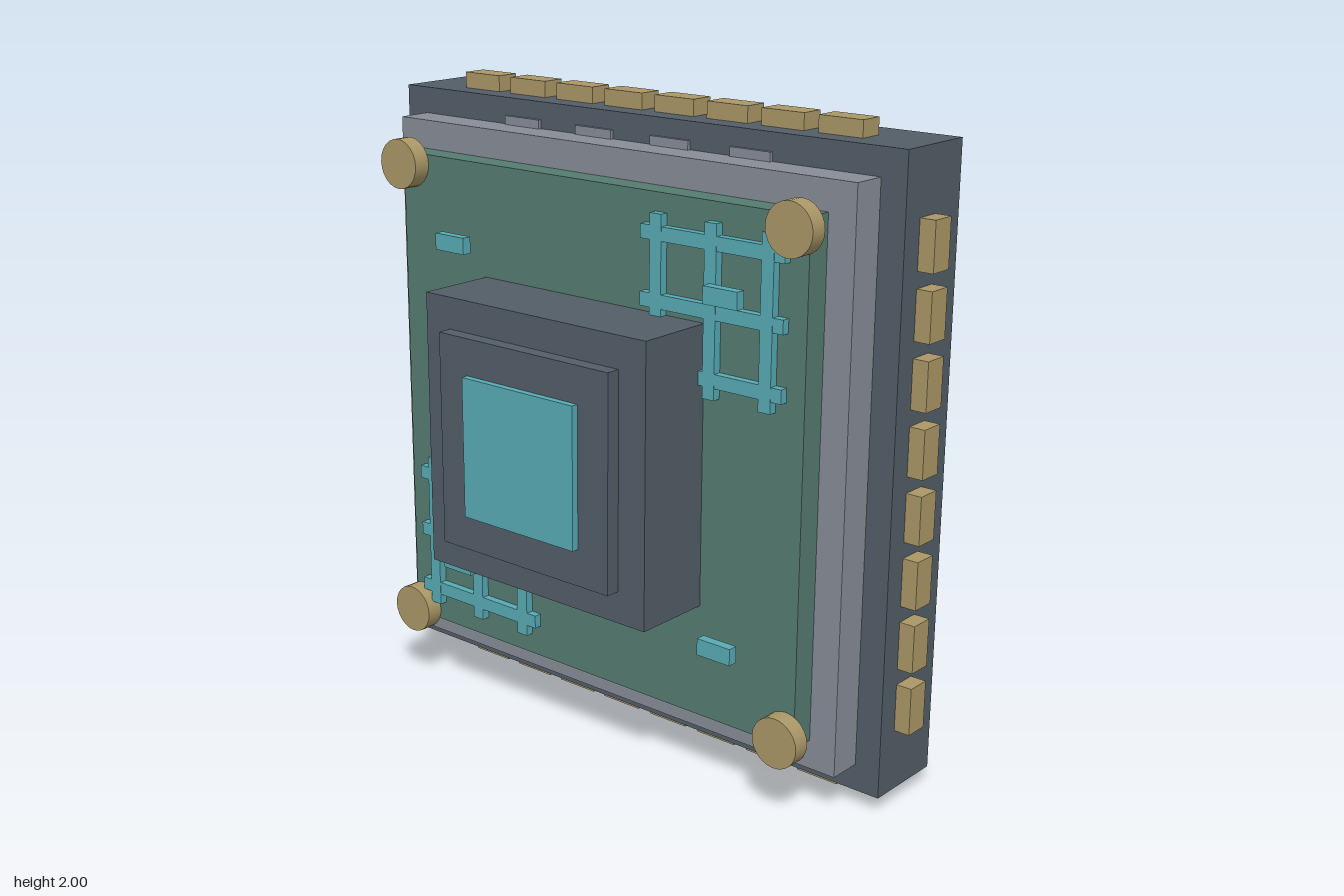
import * as THREE from 'three';

const mat = (name, color) => {
  const m = new THREE.MeshStandardMaterial({ color });
  m.name = name;
  return m;
};

export function createModel() {
  const dark = mat('slate', 0x525d67);
  const silver = mat('grey metal', 0x878c96);
  const green = mat('board green', 0x557b70);
  const gold = mat('dull gold', 0xaa9767);
  const cyan = mat('cyan', 0x57aab4);

  const model = new THREE.Group();
  model.name = 'chipModule';

  const group = (name) => {
    const g = new THREE.Group();
    g.name = name;
    model.add(g);
    return g;
  };

  // Box centred on (x, y), spanning z0 to z1
  const box = (parent, name, material, x, y, w, h, z0, z1) => {
    const mesh = new THREE.Mesh(new THREE.BoxGeometry(w, h, z1 - z0), material);
    mesh.position.set(x, y, (z0 + z1) / 2);
    mesh.name = name;
    parent.add(mesh);
    return mesh;
  };

  // Stacked square layers, back to front
  const layers = [
    ['basePlate', dark, 1.9, -0.39, -0.123],
    ['metalFrame', silver, 1.735, -0.123, -0.014],
    ['circuitBoard', green, 1.556, -0.014, 0.066],
    ['processorBlock', dark, 0.855, 0.066, 0.32],
    ['processorCap', dark, 0.66, 0.32, 0.365],
    ['processorCore', cyan, 0.434, 0.365, 0.387],
  ];
  for (const [name, m, size, z0, z1] of layers) box(model, name, m, 0, 1, size, size, z0, z1);

  // Eight contact pins along each of the four edges
  const pins = group('contactPins');
  for (let i = 0; i < 8; i++) {
    const t = (i - 3.5) * 0.1955;
    for (const s of [-1, 1]) {
      box(pins, 'pin', gold, t, 1 + s * 0.97, 0.147, 0.06, -0.271, -0.194);
      box(pins, 'pin', gold, s * 0.97, 1 + t, 0.06, 0.147, -0.271, -0.194);
    }
  }

  // Thin tabs above and below the metal frame
  const tabs = group('frameTabs');
  for (let i = 0; i < 4; i++) {
    for (const s of [-1, 1]) {
      box(tabs, 'tab', silver, (i - 1.5) * 0.292, 1 + s * 0.88, 0.142, 0.03, -0.125, -0.112);
    }
  }

  // Corner studs and small chips
  const studs = group('cornerStuds');
  const chips = group('smallChips');
  const studGeometry = new THREE.CylinderGeometry(0.078, 0.078, 0.055, 24).rotateX(Math.PI / 2);
  for (const sx of [-1, 1]) {
    for (const sy of [-1, 1]) {
      const stud = new THREE.Mesh(studGeometry, gold);
      stud.position.set(sx * 0.747, 1 + sy * 0.747, 0.0935);
      stud.name = 'stud';
      studs.add(stud);
      box(chips, 'chip', cyan, sx * 0.525, 1 + sy * 0.527, 0.12, 0.052, 0.094, 0.125);
    }
  }

  // Two crossed trace grids on opposite corners
  const traceGrid = (name, cx, cy) => {
    const g = group(name);
    for (let i = -1; i <= 1; i++) {
      const t = i * 0.196;
      box(g, 'verticalTrace', cyan, cx + t, cy, 0.042, 0.505, 0.066, 0.092);
      box(g, 'horizontalTrace', cyan, cx, cy + t, 0.505, 0.042, 0.066, 0.091);
    }
  };
  traceGrid('upperTraceGrid', 0.464, 1.47);
  traceGrid('lowerTraceGrid', -0.466, 0.541);

  return model;
}
